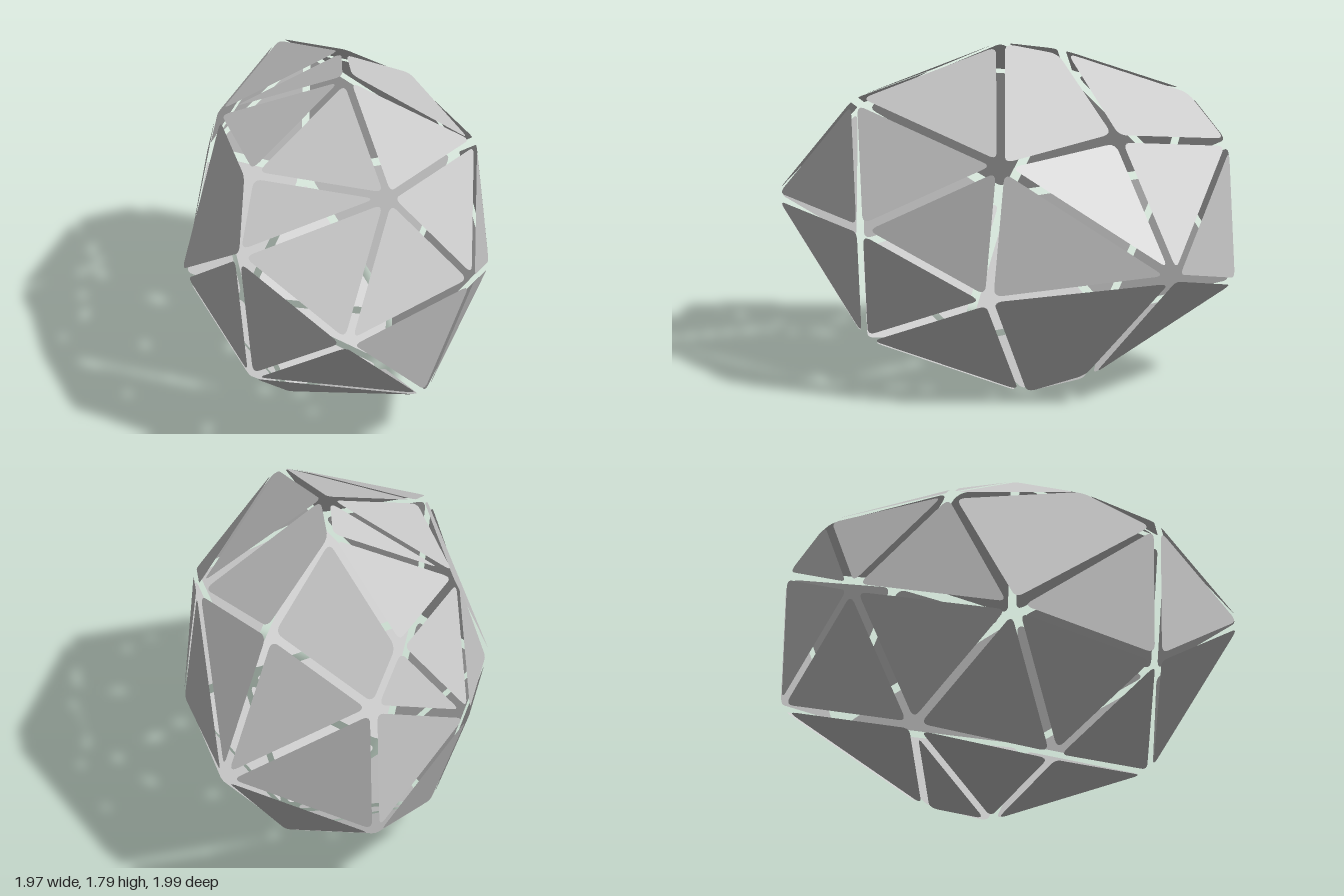
import * as THREE from 'three';

const INSET = 0.022; // half of the gap between neighbouring panels
const ROUND = 0.05;  // length of edge used by each rounded corner

// Corner points of the faceted shell
const P = {
  top: [0.07, 1.8, 0.05], topBack: [-0.18, 1.78, -0.14],
  brow: [0.1, 1.48, 0.7], browRight: [-0.52, 1.45, 0.43], browLeft: [0.77, 1.52, 0.33],
  crownBack: [-0.26, 1.42, -0.61], crownLeft: [0.38, 1.35, -0.55],
  crownRight: [-0.86, 1.49, -0.25], crownRightBack: [-0.96, 1.27, -0.51],
  frontHigh: [0.37, 1.24, 1.01], frontMid: [-0.34, 0.71, 0.78], frontLow: [0.41, 0.51, 0.95],
  leftFront: [0.99, 0.91, 0.78], leftMid: [0.95, 0.96, -0.08], leftLow: [0.81, 0.29, 0.13],
  rightMid: [-0.94, 0.94, 0.15], rightLow: [-0.6, 0.22, 0.18], rightBack: [-0.99, 0.52, -0.52],
  backLeft: [0.46, 0.64, -0.57], back: [-0.38, 0.77, -1.03],
  baseFront: [0.08, 0.09, 0.45], baseMid: [0.07, -0.01, -0.21], baseBack: [-0.18, 0.1, -0.44],
};

// Panels, grouped by region
const PANELS = {
  frontPanel: [
    'frontMid frontHigh brow browRight', 'browRight rightMid frontMid', 'rightMid rightLow frontMid',
    'frontMid frontHigh frontLow', 'frontMid frontLow baseFront', 'frontMid rightLow baseFront',
    'frontHigh leftFront frontLow', 'frontHigh browLeft leftFront',
  ],
  topPanel: [
    'topBack crownBack crownLeft top', 'browRight brow top', 'browRight top topBack',
    'browRight topBack crownRight', 'brow browLeft top', 'brow frontHigh browLeft',
    'top browLeft crownLeft', 'crownRight topBack crownBack crownRightBack',
  ],
  leftPanel: [
    'browLeft leftMid crownLeft', 'leftFront leftMid browLeft', 'leftFront leftLow leftMid',
    'frontLow leftFront leftLow', 'leftLow backLeft leftMid', 'leftMid backLeft crownLeft',
  ],
  rightPanel: [
    'browRight crownRight rightMid', 'crownRight crownRightBack rightMid',
    'crownRightBack rightBack rightMid', 'rightMid rightBack rightLow',
  ],
  backPanel: [
    'backLeft back baseBack baseMid', 'crownLeft backLeft back', 'back crownBack crownLeft',
    'back crownRightBack crownBack', 'crownRightBack back rightBack', 'back baseBack rightBack',
  ],
  basePanel: [
    'frontLow leftLow baseFront', 'rightBack baseBack rightLow', 'baseMid baseBack rightLow',
    'baseFront baseMid rightLow', 'baseFront leftLow baseMid', 'leftLow backLeft baseMid',
  ],
};

// Moves every edge of a counter-clockwise 2D outline inward
function insetOutline(pts, d) {
  const n = pts.length;
  return pts.map((p, i) => {
    const a = p.clone().sub(pts[(i + n - 1) % n]).normalize();
    const b = pts[(i + 1) % n].clone().sub(p).normalize();
    const k = d / a.cross(b);
    return new THREE.Vector2(p.x + (b.x - a.x) * k, p.y + (b.y - a.y) * k);
  });
}

// Flat outline with softened corners
function roundedShape(pts) {
  const shape = new THREE.Shape();
  const n = pts.length;
  pts.forEach((p, i) => {
    const toward = (q) => p.clone().lerp(q, Math.min(0.4, ROUND / p.distanceTo(q)));
    const s = toward(pts[(i + n - 1) % n]);
    const e = toward(pts[(i + 1) % n]);
    if (i === 0) shape.moveTo(s.x, s.y); else shape.lineTo(s.x, s.y);
    shape.quadraticCurveTo(p.x, p.y, e.x, e.y);
  });
  shape.closePath();
  return shape;
}

// One panel lying in the plane of its corner points
function panelGeometry(names) {
  const pts = names.split(' ').map((k) => new THREE.Vector3(...P[k]));
  const centre = new THREE.Vector3();
  pts.forEach((p) => centre.addScaledVector(p, 1 / pts.length));
  const normal = new THREE.Vector3();
  pts.forEach((p, i) => {
    const q = pts[(i + 1) % pts.length];
    normal.add(p.clone().sub(centre).cross(q.clone().sub(centre)));
  });
  normal.normalize();
  if (normal.dot(centre.clone().sub(new THREE.Vector3(0, 0.9, 0))) < 0) {
    normal.negate();
    pts.reverse();
  }
  const u = pts[1].clone().sub(pts[0]).projectOnPlane(normal).normalize();
  const v = normal.clone().cross(u);
  const flat = pts.map((p) => {
    const r = p.clone().sub(centre);
    return new THREE.Vector2(r.dot(u), r.dot(v));
  });
  const geometry = new THREE.ShapeGeometry(roundedShape(insetOutline(flat, INSET)), 6);
  return geometry.applyMatrix4(new THREE.Matrix4().makeBasis(u, v, normal).setPosition(centre));
}

export function createModel() {
  const model = new THREE.Group();
  model.name = 'facetedShell';
  const grey = new THREE.MeshStandardMaterial({ color: 0xc8c8c8, side: THREE.DoubleSide });
  grey.name = 'panelGrey';
  for (const [region, list] of Object.entries(PANELS)) {
    const group = new THREE.Group();
    group.name = region + 's';
    list.forEach((names, i) => {
      const mesh = new THREE.Mesh(panelGeometry(names), grey);
      mesh.name = region + (i + 1);
      group.add(mesh);
    });
    model.add(group);
  }
  return model;
}
